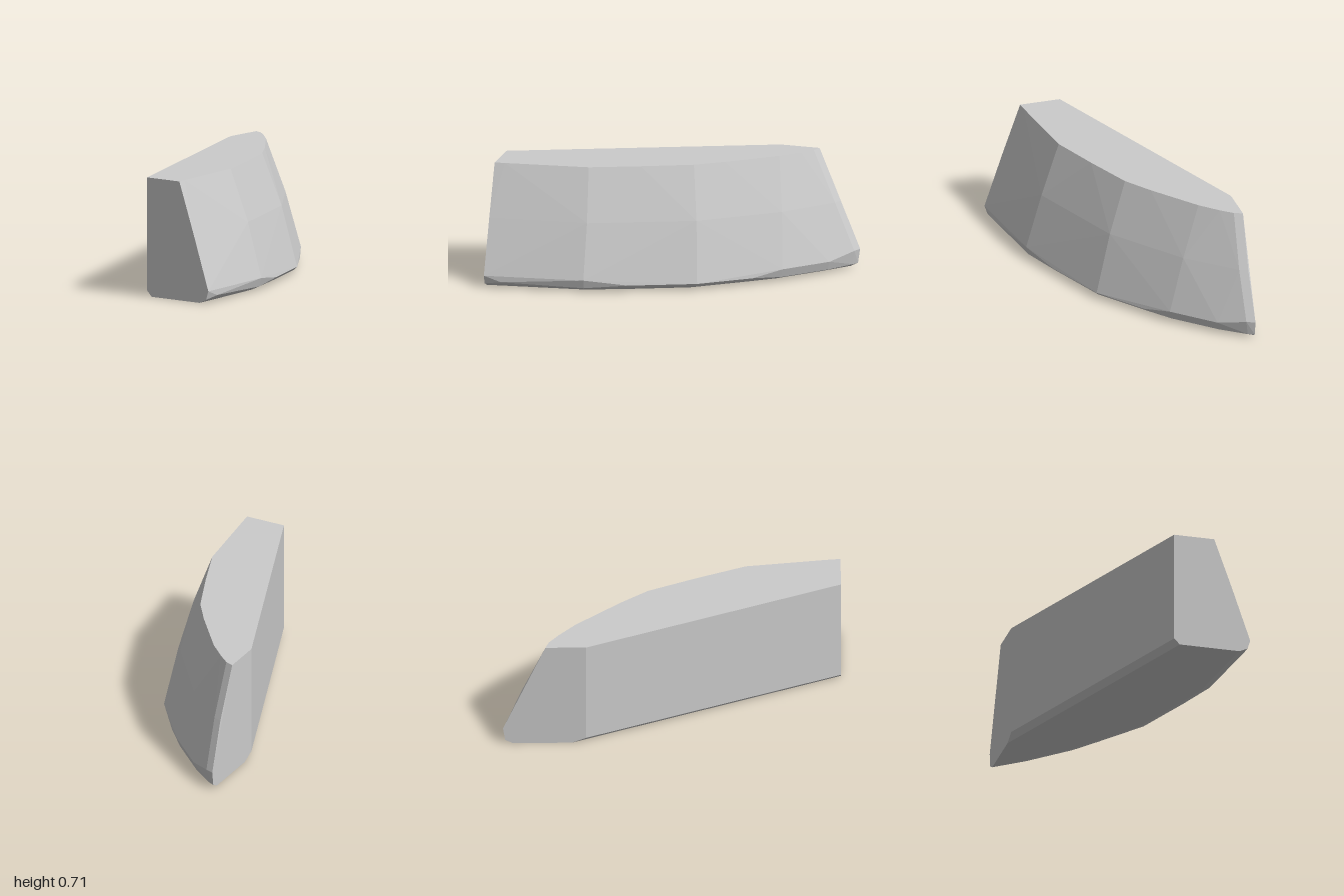
import * as THREE from 'three';
import { ConvexGeometry } from 'three/addons/geometries/ConvexGeometry.js';

const HEIGHT = 0.71;

// Curved front outline from left cut to back cut: [top x, top z, foot x, foot z, foot y]
const FRONT = [
  [-1, 0.305, -1, 0.525, 0.075],
  [-0.94, 0.3, -0.9, 0.512, 0.04],
  [-0.44, 0.24, -0.41, 0.45, 0.075],
  [-0.15, 0.13, -0.16, 0.36, 0.04],
  [0.14, 0.01, 0.22, 0.21, 0.04],
  [0.3, -0.1, 0.5, 0.005, 0.04],
  [0.57, -0.31, 0.65, -0.11, 0.075],
  [0.67, -0.41, 0.87, -0.335, 0.075],
  [0.73, -0.48, 0.98, -0.48, 0.11],
  [0.75, -0.53, 1, -0.53, 0.11],
];

// Ends of the flat back wall
const BACK = [[-1, 0.06], [0.51, -0.53]];

export function createModel() {
  const group = new THREE.Group();
  const points = [];
  const add = (x, y, z) => points.push(new THREE.Vector3(
    Math.max(-1, Math.min(1, x)), y, Math.max(-0.53, z)));

  FRONT.forEach(([tx, tz, fx, fz, fy], i) => {
    add(tx, HEIGHT, tz); // top rim
    // slight outward swell halfway up the sloping face
    if (i % 2 === 0 || i === FRONT.length - 1) {
      const swell = i === 0 ? 0 : 0.012;
      add((tx + fx) / 2 + swell * 0.7, 0.4, (tz + fz) / 2 + swell * 0.7);
    }
    add(fx, fy, fz); // widest line
    // lower chamfer, pulled inward in two steps; the cut ends stay in plane
    const ix = i === 0 ? 0 : i < 4 ? 0.1 : 0.72;
    const iz = i === FRONT.length - 1 ? 0 : i < 4 ? 0.95 : 0.7;
    add(fx - ix * 0.018, 0.023, fz - iz * 0.018);
    add(fx - ix * 0.08, 0, fz - iz * 0.07);
  });

  // Vertical back wall with a narrow bottom chamfer
  BACK.forEach(([x, z]) => {
    add(x, HEIGHT, z);
    add(x, 0.035, z);
  });
  add(-1, 0, 0.095);
  add(0.595, 0, -0.53);

  const mesh = new THREE.Mesh(
    new ConvexGeometry(points),
    new THREE.MeshStandardMaterial({ color: 0xcccccc, flatShading: true })
  );
  mesh.name = 'stoneChunk';
  group.add(mesh);
  return group;
}
